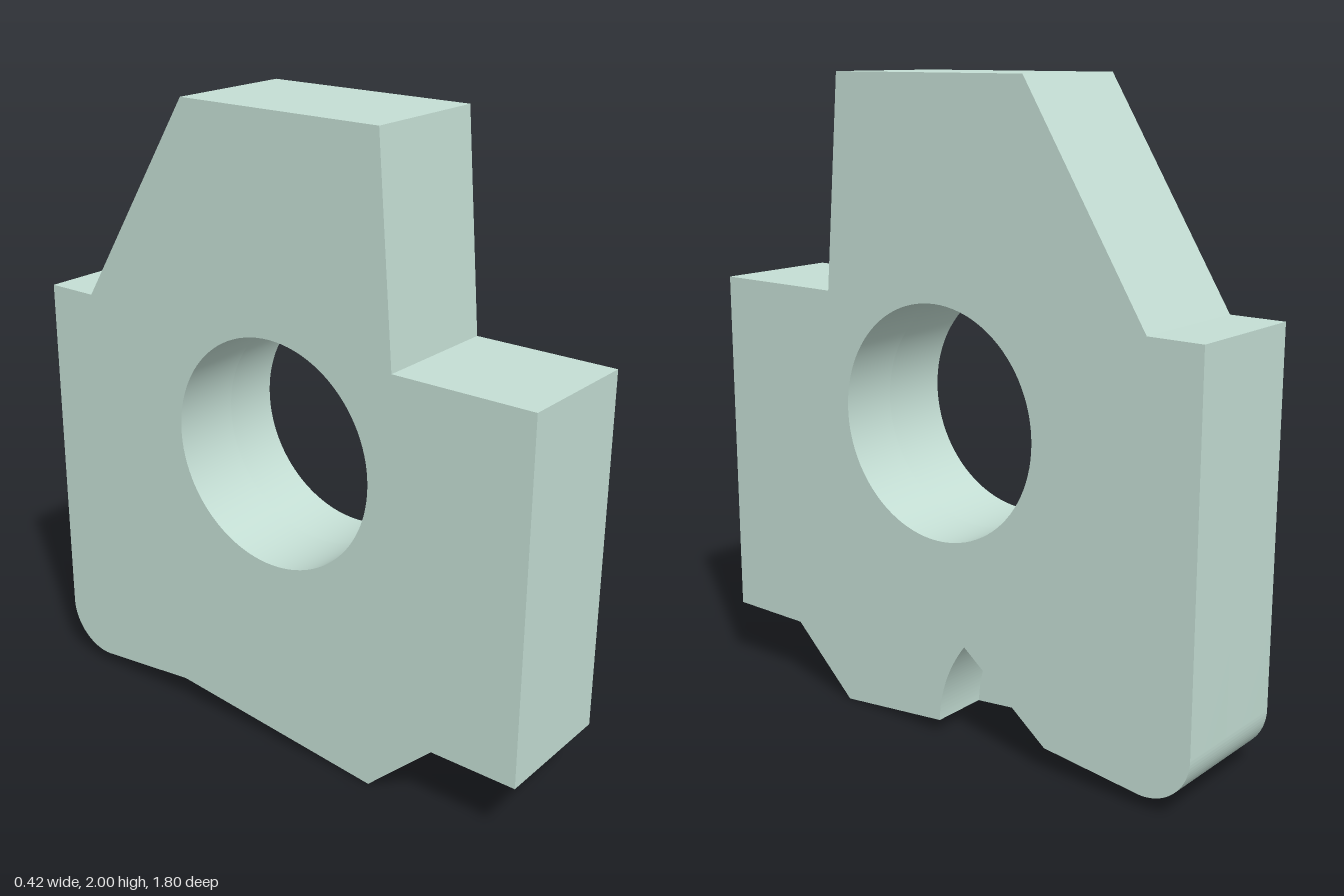
import * as THREE from 'three';
import { toCreasedNormals } from 'three/addons/utils/BufferGeometryUtils.js';

const HALF_WIDTH = 0.21;
const POCKET_DEPTH = 0.19;

// Side profile, drawn with u = -z across and y up
function sideProfile(withPocket) {
  const s = new THREE.Shape();
  s.moveTo(-0.9, 0.21);
  s.lineTo(-0.615, 0.21);
  s.lineTo(-0.39, 0);
  if (withPocket) {
    // curved wall and sloping roof of the pocket
    s.lineTo(0, 0.042);
    s.quadraticCurveTo(0.005, 0.186, 0.1, 0.31);
    s.lineTo(0.405, 0.076);
  } else {
    s.lineTo(0.37, 0.08);
  }
  // rounded lower back corner
  s.lineTo(0.73, 0.041);
  s.absarc(0.745, 0.195, 0.155, -Math.PI / 2 - 0.1, 0, false);
  s.lineTo(0.9, 1.34);
  // tapered upper block
  s.lineTo(0.725, 1.34);
  s.lineTo(0.31, 2);
  s.lineTo(-0.39, 2);
  s.lineTo(-0.445, 1.34);
  s.lineTo(-0.9, 1.34);
  s.closePath();

  const bore = new THREE.Path();
  bore.absarc(-0.01, 0.985, 0.36, 0, Math.PI * 2, true);
  s.holes.push(bore);
  return s;
}

// Extrudes the profile along x between two positions
function plate(name, withPocket, x0, x1, material) {
  const geometry = new THREE.ExtrudeGeometry(sideProfile(withPocket), {
    depth: x1 - x0, bevelEnabled: false, curveSegments: 48,
  });
  geometry.rotateY(Math.PI / 2);
  geometry.translate(x0, 0, 0);
  const mesh = new THREE.Mesh(toCreasedNormals(geometry, 0.4), material);
  mesh.name = name;
  return mesh;
}

export function createModel() {
  const group = new THREE.Group();
  group.name = 'boredBlock';
  const material = new THREE.MeshStandardMaterial({ color: 0xc4ded4 });
  const split = HALF_WIDTH - POCKET_DEPTH;
  group.add(
    plate('solidPlate', false, -HALF_WIDTH, split, material),
    plate('pocketPlate', true, split, HALF_WIDTH, material),
  );
  return group;
}
